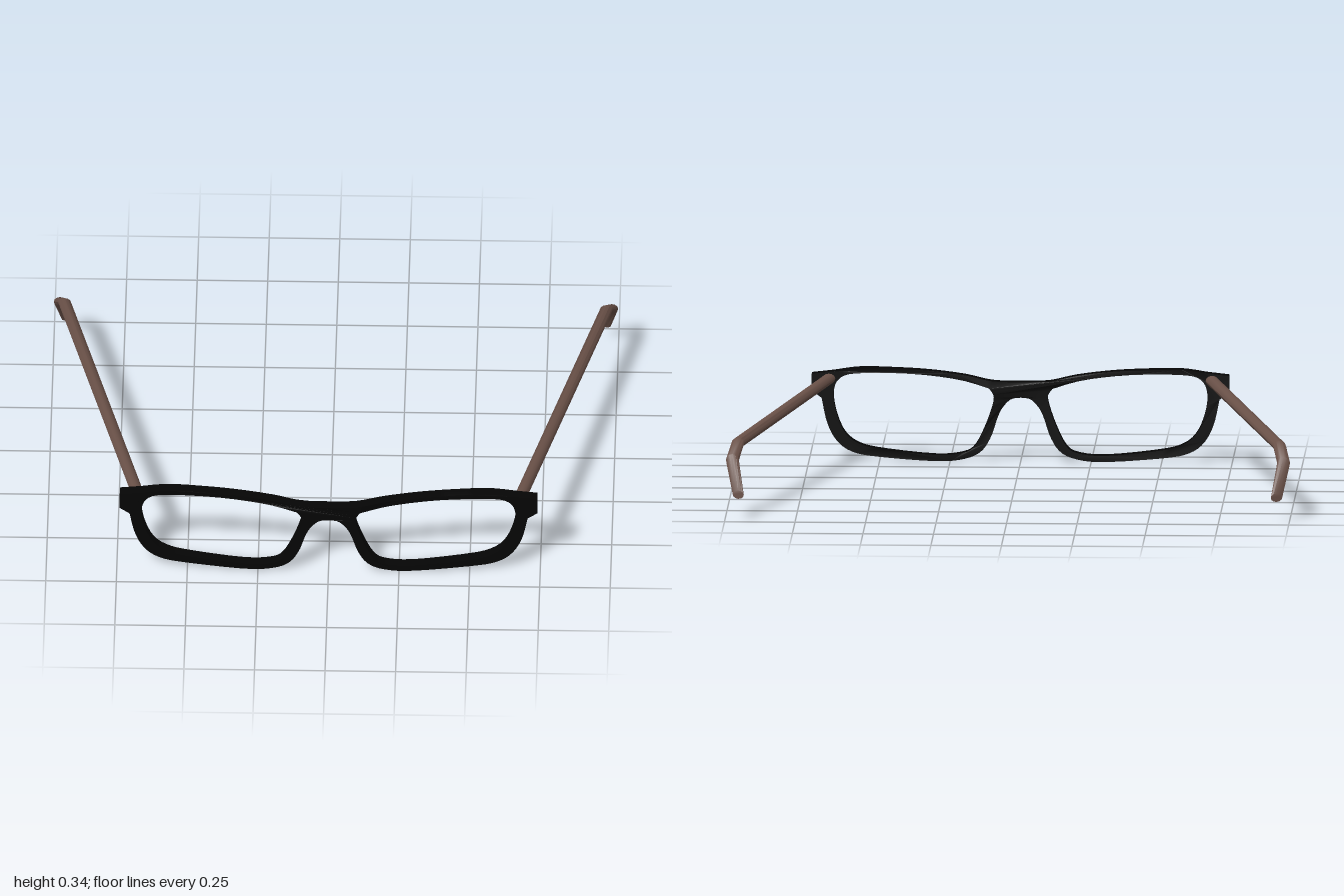
import * as THREE from 'three';
import { toCreasedNormals } from 'three/addons/utils/BufferGeometryUtils.js';

const black = new THREE.MeshStandardMaterial({ color: 0x050505 });
const brown = new THREE.MeshStandardMaterial({ color: 0x6a5148 });

const vec = ([x, y]) => new THREE.Vector2(x, y);
const spline = (pts, n) => new THREE.SplineCurve(pts.map(vec)).getPoints(n);
const mirrored = (pts) => pts.map((p) => new THREE.Vector2(-p.x, p.y)).reverse();

// Front frame: half outline mirrored, one lens hole per side, bowed forward in the middle
function createFrame() {
  const top = spline([[0, 0.285], [0.1, 0.288], [0.2, 0.31], [0.33, 0.327], [0.46, 0.335],
    [0.57, 0.337], [0.66, 0.325]], 24);
  const corner = [[0.74, 0.316], [0.74, 0.254]].map(vec);
  const bottom = spline([[0.705, 0.23], [0.685, 0.14], [0.65, 0.075], [0.597, 0.037], [0.51, 0.019],
    [0.3, 0.002], [0.2, 0.01], [0.14, 0.037], [0.105, 0.09], [0.083, 0.155], [0.065, 0.193],
    [0.035, 0.224], [0, 0.23]], 44);
  const half = [...top, ...corner, ...bottom];
  const shape = new THREE.Shape([...half, ...mirrored(half).slice(1, -1)]);

  // Holes run the opposite way to the outline so their walls face inward
  const lens = spline([[0.112, 0.262], [0.22, 0.294], [0.385, 0.315], [0.57, 0.318], [0.638, 0.302],
    [0.662, 0.255], [0.655, 0.185], [0.625, 0.11], [0.575, 0.067], [0.49, 0.045], [0.3, 0.024],
    [0.2, 0.033], [0.16, 0.06], [0.127, 0.125], [0.102, 0.195], [0.096, 0.235], [0.112, 0.262]], 56)
    .slice(0, -1).reverse();
  shape.holes.push(new THREE.Path(lens), new THREE.Path(mirrored(lens)));

  const geo = new THREE.ExtrudeGeometry(shape, { depth: 0.039, bevelEnabled: false });
  const pos = geo.attributes.position;
  for (let i = 0; i < pos.count; i++) {
    const bow = 0.0125 * (1 + Math.cos(Math.PI * Math.min(1, Math.abs(pos.getX(i)) / 0.74)));
    pos.setZ(i, pos.getZ(i) + 0.61 + bow);
  }
  const mesh = new THREE.Mesh(toCreasedNormals(geo, 0.7), black);
  mesh.name = 'frontFrame';
  return mesh;
}

// Temple arm: elliptical sections facing z, [x, y, z, radiusX, radiusY, outward skew in z]
function createTemple(side, name) {
  const sections = [
    [0.677, 0.298, 0.62, 0.023, 0.019, 0],
    [0.96, 0.251, -0.54, 0.023, 0.019, 0],
    [0.977, 0.201, -0.608, 0.023, 0.021, 0],
    [0.954, 0.086, -0.668, 0.02, 0.015, 0.007],
  ];
  const sides = 12;
  const verts = [];
  const faces = [];
  for (const [x, y, z, rx, ry, skew] of sections) {
    for (let i = 0; i < sides; i++) {
      const a = (i / sides) * Math.PI * 2;
      verts.push(side * x + rx * Math.cos(a), y + ry * Math.sin(a), z + side * skew * Math.cos(a));
    }
  }
  for (let s = 0; s < sections.length - 1; s++) {
    for (let i = 0; i < sides; i++) {
      const a = s * sides + i;
      const b = s * sides + ((i + 1) % sides);
      faces.push(a, a + sides, b, b, a + sides, b + sides);
    }
  }
  // End caps
  const last = (sections.length - 1) * sides;
  for (let i = 1; i < sides - 1; i++) {
    faces.push(0, i, i + 1, last, last + i + 1, last + i);
  }
  const geo = new THREE.BufferGeometry();
  geo.setAttribute('position', new THREE.Float32BufferAttribute(verts, 3));
  geo.setIndex(faces);
  const mesh = new THREE.Mesh(toCreasedNormals(geo, 0.6), brown);
  mesh.name = name;
  return mesh;
}

export function createModel() {
  const group = new THREE.Group();
  group.name = 'eyeglasses';
  group.add(createFrame(), createTemple(1, 'leftTemple'), createTemple(-1, 'rightTemple'));
  return group;
}
